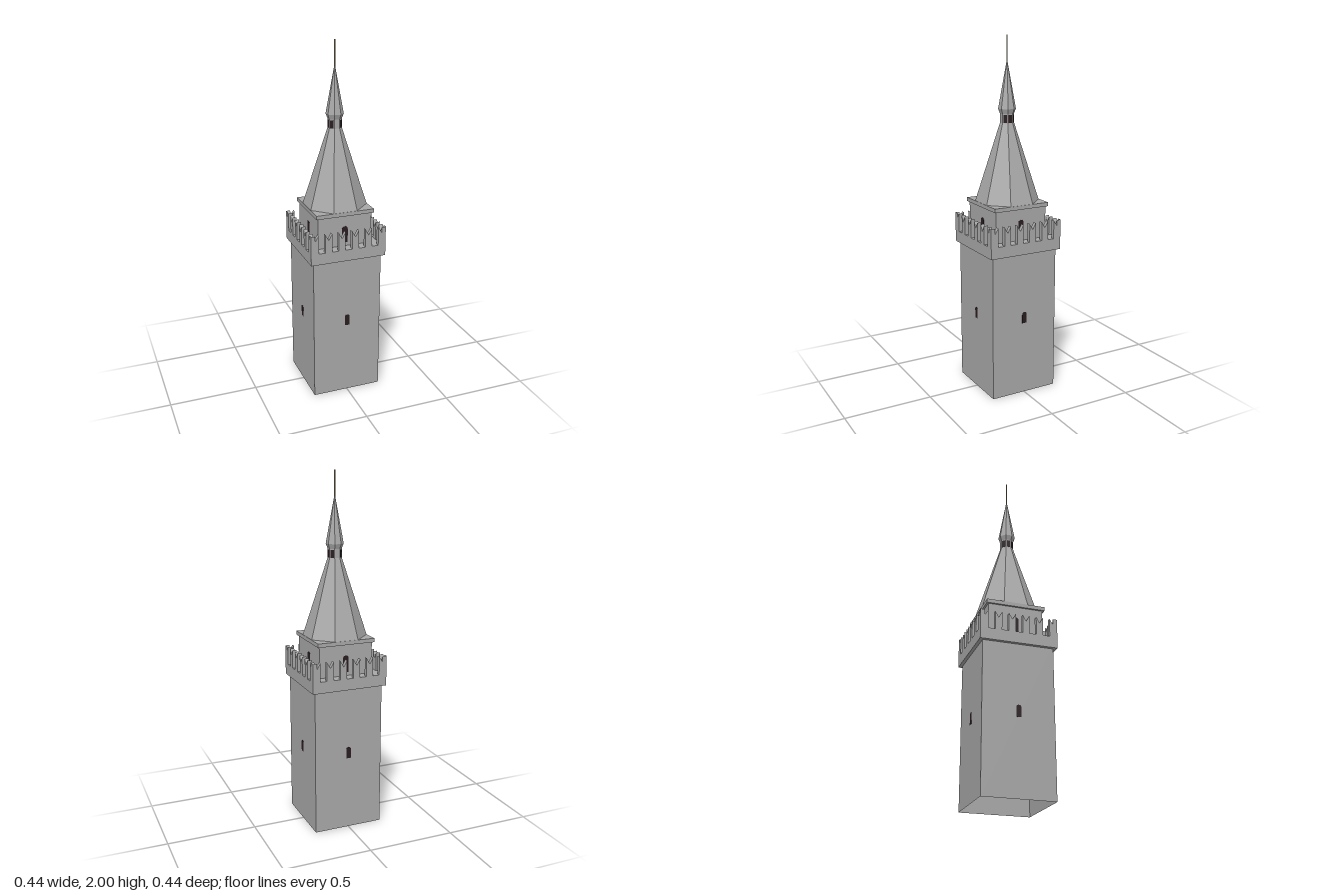
import * as THREE from 'three';

export function createModel() {
  const tower = new THREE.Group();
  tower.name = 'tower';

  const material = (name, color) => {
    const m = new THREE.MeshStandardMaterial({ color, flatShading: true, side: THREE.DoubleSide });
    m.name = name;
    return m;
  };
  const stone = material('stone grey', 0xa8a8a8);
  const dark = material('window dark', 0x2a1d20);
  const metal = material('pole brass', 0x9c8e66);

  function add(name, geometry, mat, parent = tower) {
    const mesh = new THREE.Mesh(geometry, mat);
    mesh.name = name;
    parent.add(mesh);
    return mesh;
  }

  // Regular prism or frustum with flat sides facing the axes; sizes are half-widths
  function frustum(name, sides, bottom, top, y0, y1, open = false, mat = stone) {
    const k = 1 / Math.cos(Math.PI / sides);
    const g = new THREE.CylinderGeometry(top * k, bottom * k, y1 - y0, sides, 1, open);
    g.rotateY(Math.PI / sides);
    g.translate(0, (y0 + y1) / 2, 0);
    return add(name, g, mat);
  }

  // Thin arched pane standing on y = 0, back at z = 0
  function archPane(width, height, rise) {
    const w = width / 2;
    const s = new THREE.Shape();
    s.moveTo(-w, 0);
    s.lineTo(w, 0);
    s.lineTo(w, height - rise);
    s.quadraticCurveTo(w, height, 0, height);
    s.quadraticCurveTo(-w, height, -w, height - rise);
    return new THREE.ExtrudeGeometry(s, { depth: 0.002, bevelEnabled: false, curveSegments: 5 });
  }

  // Hollow shaft, open at the bottom, with the parapet base around its top
  frustum('shaft', 4, 0.2, 0.2, 0, 0.86, true);
  frustum('parapetBase', 4, 0.219, 0.219, 0.83, 0.895);

  // Upper chamber and eaves
  frustum('upperChamber', 4, 0.157, 0.157, 0.895, 1.075);
  frustum('eaves', 4, 0.168, 0.168, 1.072, 1.094);

  // Octagonal roof, lantern and cap
  frustum('roof', 8, 0.166, 0.036, 1.094, 1.53);
  frustum('lantern', 8, 0.036, 0.036, 1.53, 1.58);
  frustum('capFlare', 8, 0.036, 0.0455, 1.58, 1.607);
  frustum('cap', 8, 0.0455, 0.001, 1.607, 1.87);
  frustum('pole', 8, 0.003, 0.003, 1.85, 2, false, metal);

  // Swallow-tailed merlon
  function merlon(width) {
    const w = width / 2;
    const s = new THREE.Shape();
    s.moveTo(-w, 0);
    s.lineTo(w, 0);
    s.lineTo(w, 0.107);
    s.lineTo(0, 0.072);
    s.lineTo(-w, 0.107);
    return new THREE.ExtrudeGeometry(s, { depth: 0.024, bevelEnabled: false });
  }
  const middleMerlon = merlon(0.039);
  const cornerMerlon = merlon(0.044);
  const shaftPane = archPane(0.028, 0.066, 0.014);
  const chamberPane = archPane(0.034, 0.095, 0.017);

  // The same battlements and windows on all four sides
  for (let i = 0; i < 4; i++) {
    const side = new THREE.Group();
    side.name = 'side' + (i + 1);
    side.rotation.y = (i * Math.PI) / 2;
    tower.add(side);
    for (const x of [-0.197, -0.117, -0.039, 0.039, 0.117, 0.197]) {
      const g = Math.abs(x) > 0.19 ? cornerMerlon : middleMerlon;
      add('merlon', g, stone, side).position.set(x, 0.893, 0.195);
    }
    add('shaftWindow', shaftPane, dark, side).position.set(0, 0.422, 0.199);
    add('chamberWindow', chamberPane, dark, side).position.set(0, 0.915, 0.156);
  }

  // Lantern openings on the sides and diagonals
  const slit = new THREE.BoxGeometry(0.021, 0.043, 0.004);
  slit.translate(0, 1.553, 0.0355);
  for (let i = 0; i < 8; i++) {
    if (i % 4 === 0) continue;
    add('lanternWindow', slit, dark).rotation.y = (i * Math.PI) / 4;
  }

  return tower;
}
